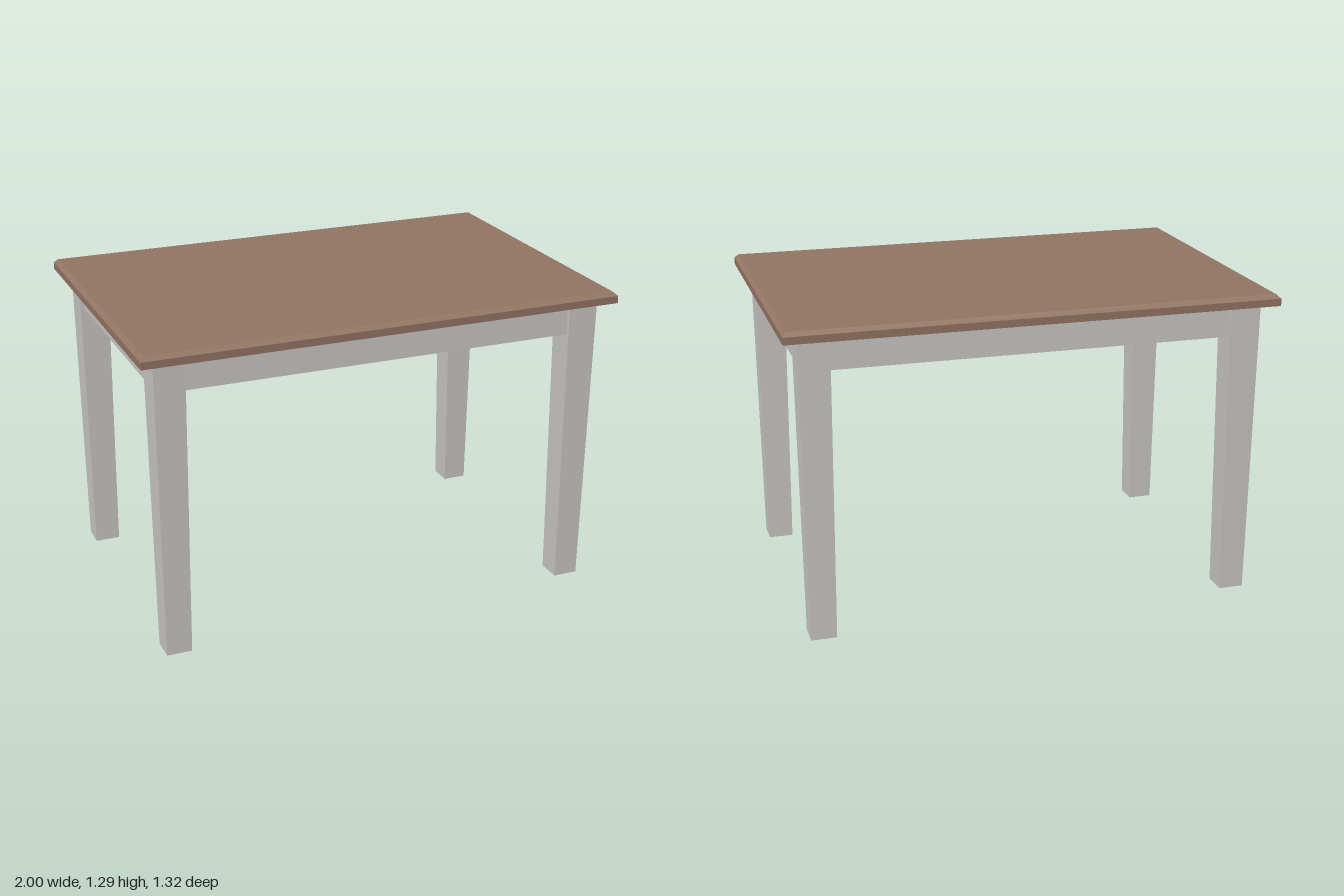
import * as THREE from 'three';

// Stack of rectangular sections, each given as [y, width, depth]
function stackedBox(sections) {
  const n = sections.length - 1;
  const box = new THREE.BoxGeometry(1, 1, 1, 1, n, 1);
  const p = box.attributes.position;
  for (let i = 0; i < p.count; i++) {
    const [y, w, d] = sections[Math.round((p.getY(i) + 0.5) * n)];
    p.setXYZ(i, p.getX(i) * w, y, p.getZ(i) * d);
  }
  const geometry = box.toNonIndexed();
  geometry.computeVertexNormals();
  return geometry;
}

export function createModel() {
  const table = new THREE.Group();
  table.name = 'table';

  const wood = new THREE.MeshStandardMaterial({ color: 0x937563 });
  wood.name = 'brown wood';
  const paint = new THREE.MeshStandardMaterial({ color: 0xcac8c6 });
  paint.name = 'light grey paint';

  const add = (name, geometry, material, x = 0, y = 0, z = 0) => {
    const mesh = new THREE.Mesh(geometry, material);
    mesh.name = name;
    mesh.position.set(x, y, z);
    table.add(mesh);
  };

  // Tabletop with a chamfered upper rim
  add('tabletop', stackedBox([[1.245, 2, 1.32], [1.275, 2, 1.32], [1.291, 1.966, 1.286]]), wood);

  // Tapered legs, each with a small peg on top, and the apron rails between them
  const legX = 0.876, legZ = 0.539;
  const leg = stackedBox([[0, 0.104, 0.104], [1.236, 0.126, 0.126]]);
  const peg = new THREE.BoxGeometry(0.035, 0.006, 0.035);
  const longRail = new THREE.BoxGeometry(1.63, 0.126, 0.035);
  const shortRail = new THREE.BoxGeometry(0.035, 0.126, 0.955);
  for (const s of [-1, 1]) {
    for (const t of [-1, 1]) {
      const place = `${t > 0 ? 'front' : 'back'}${s > 0 ? 'Left' : 'Right'}`;
      add(`${place}Leg`, leg, paint, s * legX, 0, t * legZ);
      add(`${place}Peg`, peg, paint, s * 0.907, 1.236, t * 0.57);
    }
    add(s > 0 ? 'frontApron' : 'backApron', longRail, paint, 0, 1.175, s * 0.568);
    add(s > 0 ? 'leftApron' : 'rightApron', shortRail, paint, s * 0.905, 1.175, 0);
  }
  return table;
}
